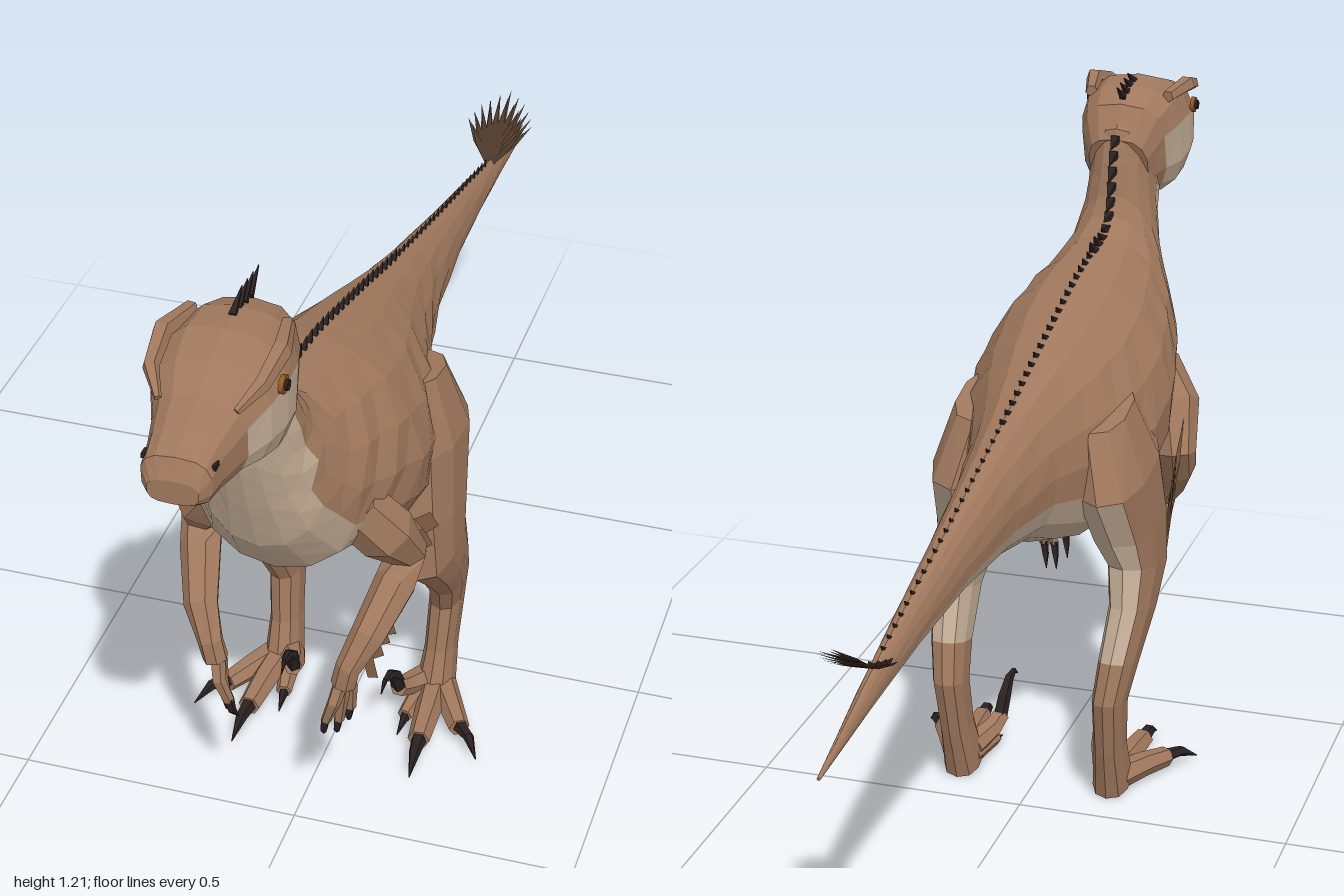
import * as THREE from 'three';
import { mergeGeometries } from 'three/addons/utils/BufferGeometryUtils.js';

const mat = (name, color, side = THREE.FrontSide) => Object.assign(new THREE.MeshStandardMaterial({ color, side }), { name });
const hide = mat('brownHide', 0xa0785d);
const pale = mat('paleUnderside', 0xc2ab94);
const claw = mat('darkClaw', 0x2a2021);
const plume = mat('brownFeather', 0x8a664c, THREE.DoubleSide);
const darkPlume = mat('darkFeather', 0x4a3628, THREE.DoubleSide);
const eyeAmber = mat('eyeAmber', 0x9a5a22);
const V = (x, y, z) => new THREE.Vector3(x, y, z);

// Faceted skin over rings of points, capped at both ends; isPale picks faces for the second material
function skin(rings, isPale = () => false) {
  const n = rings[0].length, faces = [[], []];
  const mid = r => r.reduce((s, p) => s.add(p), V(0, 0, 0)).divideScalar(n);
  const last = rings.length - 1, c0 = mid(rings[0]), c1 = mid(rings[last]);
  for (let i = 0; i < n; i++) {
    const k = (i + 1) % n, a = (i + 0.5) / n * Math.PI * 2;
    faces[0].push([c0, rings[0][k], rings[0][i]], [c1, rings[last][i], rings[last][k]]);
    for (let j = 0; j < last; j++) {
      const A = rings[j][i], B = rings[j][k], C = rings[j + 1][k], D = rings[j + 1][i];
      faces[isPale(j, Math.cos(a), Math.sin(a)) ? 1 : 0].push([A, B, C], [A, C, D]);
    }
  }
  // Turn the faces outward whichever way the rings run
  const volume = faces.flat().reduce((s, [a, b, c]) => s + a.dot(b.clone().cross(c)), 0);
  const geo = new THREE.BufferGeometry(), pts = [];
  faces.forEach((list, m) => {
    geo.addGroup(pts.length, list.length * 3, m);
    list.forEach(([a, b, c]) => pts.push(...(volume > 0 ? [a, b, c] : [a, c, b])));
  });
  geo.setFromPoints(pts);
  geo.computeVertexNormals();
  return geo;
}

// Rings from sections [z1, y1, z2, y2, halfWidth, centreX], spanning edge 1 to edge 2
function sections(list, n, { box = 1, pear = 0, bump = 0, side = 1 } = {}) {
  const pw = v => Math.sign(v) * Math.abs(v) ** box;
  return list.map(([z1, y1, z2, y2, w, cx = 0], j) => Array.from({ length: n }, (_, i) => {
    const a = i / n * Math.PI * 2, c = pw(Math.cos(a)), s = pw(Math.sin(a));
    const r = 1 + bump * Math.sin(j * 2.6) * Math.cos(i * 2.1 * Math.PI / 2) * Math.abs(s);
    return V(side * (cx + w * s * r * (1 - pear * c)), (y1 + y2) / 2 + (y1 - y2) / 2 * c, (z1 + z2) / 2 + (z1 - z2) / 2 * c);
  }));
}

// Tapered limb along points [x, y, z, radius]
function limb(pts, n = 6, side = 1) {
  const P = pts.map(p => V(p[0] * side, p[1], p[2]));
  return skin(P.map((p, j) => {
    const t = P[Math.min(j + 1, P.length - 1)].clone().sub(P[Math.max(j - 1, 0)]).normalize();
    const u = t.clone().cross(Math.abs(t.x) < 0.9 ? V(1, 0, 0) : V(0, 1, 0)).normalize(), v = t.clone().cross(u);
    return Array.from({ length: n }, (_, i) => {
      const a = (i + 0.5) / n * Math.PI * 2;
      return p.clone().addScaledVector(u, Math.cos(a) * pts[j][3]).addScaledVector(v, Math.sin(a) * pts[j][3]);
    });
  }));
}

// Flat pointed feather from base to tip, spread along the across vector
function feather(base, tip, across) {
  const m = base.clone().lerp(tip, 0.55);
  const a = m.clone().add(across), b = m.clone().sub(across);
  const g = new THREE.BufferGeometry().setFromPoints([base, a, tip, base, tip, b]);
  g.computeVertexNormals();
  return g;
}

// Adds in-between sections for a finely faceted hide
const refine = (list, k) => list.flatMap((s, j) => j === list.length - 1 ? [s]
  : Array.from({ length: k }, (_, q) => s.map((v, c) => THREE.MathUtils.lerp(v, list[j + 1][c], q / k))));

export function createModel() {
  const model = new THREE.Group();
  model.name = 'raptor';
  const add = (name, geo, material, parent = model) => {
    const m = new THREE.Mesh(geo, material);
    m.name = name;
    parent.add(m);
    return m;
  };

  // Tail, torso and neck
  const trunk = [
    [-1, 0.553, -1, 0.548, 0.003], [-0.8, 0.612, -0.8, 0.567, 0.014], [-0.6, 0.663, -0.6, 0.583, 0.025],
    [-0.4, 0.71, -0.4, 0.59, 0.038], [-0.2, 0.76, -0.2, 0.578, 0.057], [-0.05, 0.80, -0.05, 0.55, 0.083],
    [0.05, 0.83, 0.05, 0.505, 0.115], [0.15, 0.858, 0.15, 0.472, 0.155], [0.25, 0.885, 0.25, 0.46, 0.18],
    [0.35, 0.91, 0.35, 0.50, 0.185], [0.45, 0.925, 0.46, 0.555, 0.165], [0.53, 0.937, 0.57, 0.60, 0.14],
    [0.565, 0.965, 0.65, 0.70, 0.105], [0.58, 1.0, 0.69, 0.80, 0.08], [0.59, 1.06, 0.725, 0.90, 0.066],
    [0.61, 1.12, 0.74, 0.97, 0.066], [0.66, 1.15, 0.75, 1.0, 0.06]];
  const fine = refine(trunk, 2);
  add('body', skin(sections(fine, 16, { pear: 0.12, bump: 0.035 }), (j, c) => c < (j >= 25 ? -0.1 : j > 13 && j < 21 ? -0.7 : -0.5)), [hide, pale]);

  // Head with pale cheeks
  const skull = [
    [0.605, 1.10, 0.66, 0.98, 0.058], [0.64, 1.16, 0.70, 0.97, 0.082], [0.70, 1.183, 0.745, 0.962, 0.098],
    [0.77, 1.187, 0.79, 0.975, 0.103], [0.83, 1.168, 0.84, 0.992, 0.095], [0.88, 1.138, 0.88, 1.003, 0.074],
    [0.94, 1.12, 0.94, 1.012, 0.06], [0.985, 1.102, 0.98, 1.018, 0.055], [1, 1.07, 1, 1.03, 0.04]];
  add('head', skin(sections(skull, 14, { box: 0.7 }),
    (j, c) => (j > 0 && j < 5 && c < 0.3 && c > -0.8) || (j < 3 && c < -0.8) || (j >= 5 && c < -0.1 && c > -0.3)), [hide, pale]);

  // Spikes along the back, and a crest on the skull
  const ridge = new THREE.CatmullRomCurve3(trunk.slice(1, -1).map(s => V(0, s[1], s[0])));
  const spikes = [];
  for (let i = 0; i < 52; i++) {
    const u = 0.06 + 0.93 * i / 51, p = ridge.getPointAt(u), t = ridge.getTangentAt(u);
    const up = V(0, t.z, -t.y), big = u > 0.82 ? 0.026 : u > 0.45 ? 0.016 : 0.011;
    const tip = p.clone().addScaledVector(up, big).addScaledVector(t, -big);
    spikes.push(limb([[0, p.y - 0.004, p.z, big * 0.45], [0, tip.y, tip.z, 0.001]], 4));
  }
  for (let i = 0; i < 4; i++) {
    const z = 0.73 - i * 0.025;
    spikes.push(limb([[0, 1.183 - i * 0.004, z, 0.008], [0, 1.208 - i * 0.003, z - 0.045, 0.001]], 4));
  }
  add('spineSpikes', mergeGeometries(spikes), claw);

  // Feather fan near the tail tip
  const fan = [];
  for (let i = -5; i <= 5; i++) for (const lift of [0, 0.025]) {
    const a = i * 0.16, len = 0.17 - Math.abs(i) * 0.01 - lift;
    fan.push(feather(V(0, 0.612, -0.74), V(Math.sin(a) * len * 0.75, 0.612 + len * 0.5 + lift * 0.4, -0.74 - Math.cos(a) * len), V(0.007, 0, -0.002)));
  }
  add('tailFan', mergeGeometries(fan), darkPlume);

  for (const side of [1, -1]) {
    const half = new THREE.Group(), tag = side > 0 ? 'left' : 'right';
    half.name = tag + 'Side';
    model.add(half);
    const put = (name, geo, m) => add(tag + name, geo, m, half);

    // Brow, eye and nostril
    put('Brow', limb([[0.075, 1.165, 0.70, 0.012], [0.092, 1.172, 0.78, 0.016], [0.085, 1.155, 0.85, 0.013], [0.06, 1.13, 0.89, 0.006]], 5, side), hide);
    for (const [name, r, x, m] of [['Eye', 0.015, 0.101, eyeAmber], ['Pupil', 0.009, 0.106, claw]]) {
      const disc = put(name, new THREE.CylinderGeometry(r, r, 0.008, 8), m);
      disc.position.set(side * x, 1.127, 0.80);
      disc.rotation.z = Math.PI / 2;
    }
    const nostril = put('Nostril', new THREE.BoxGeometry(0.006, 0.008, 0.016), claw);
    nostril.position.set(side * 0.054, 1.085, 0.965);

    // Leg with pale inner thigh
    const leg = [
      [0.24, 0.76, 0.06, 0.72, 0.055, 0.105], [0.30, 0.65, 0.02, 0.60, 0.066, 0.135], [0.312, 0.52, 0.08, 0.50, 0.062, 0.148],
      [0.305, 0.41, 0.10, 0.45, 0.048, 0.163], [0.23, 0.34, 0.08, 0.38, 0.039, 0.168], [0.15, 0.26, 0.035, 0.29, 0.034, 0.16],
      [0.115, 0.20, 0.012, 0.215, 0.030, 0.152], [0.13, 0.11, 0.04, 0.10, 0.028, 0.148], [0.16, 0.035, 0.07, 0, 0.035, 0.145]];
    put('Leg', skin(sections(leg, 10, { side, box: 0.85 }), (j, c, s) => j > 0 && j < 5 && (s < -0.5 || c < -0.9) && c < 0.5), [hide, pale]);

    // Foot: three toes and the raised sickle claw
    const toes = [
      [[0.145, 0.03, 0.10, 0.029], [0.155, 0.032, 0.2, 0.024], [0.16, 0.028, 0.275, 0.02]],
      [[0.15, 0.03, 0.10, 0.028], [0.19, 0.03, 0.17, 0.023], [0.22, 0.026, 0.22, 0.019]],
      [[0.135, 0.03, 0.11, 0.026], [0.122, 0.025, 0.17, 0.018], [0.115, 0.02, 0.21, 0.014]],
      [[0.13, 0.045, 0.12, 0.024], [0.108, 0.06, 0.17, 0.02], [0.1, 0.075, 0.2, 0.017]]];
    const nails = [
      [[0.16, 0.03, 0.265, 0.015], [0.163, 0.03, 0.31, 0.011], [0.166, 0.008, 0.355, 0.001]],
      [[0.216, 0.028, 0.213, 0.014], [0.244, 0.03, 0.243, 0.01], [0.266, 0.008, 0.275, 0.001]],
      [[0.116, 0.02, 0.205, 0.01], [0.112, 0.006, 0.25, 0.001]],
      [[0.1, 0.075, 0.195, 0.014], [0.097, 0.11, 0.212, 0.013], [0.096, 0.135, 0.24, 0.009], [0.094, 0.14, 0.265, 0.005], [0.093, 0.125, 0.285, 0.001]]];
    put('Toes', mergeGeometries(toes.map(t => limb(t, 6, side))), hide);
    put('ToeClaws', mergeGeometries(nails.map(t => limb(t, 5, side))), claw);

    // Arm, fingers and finger claws
    put('Arm', limb([[0.11, 0.70, 0.50, 0.05], [0.155, 0.635, 0.47, 0.052], [0.178, 0.56, 0.42, 0.036], [0.17, 0.52, 0.455, 0.036],
      [0.145, 0.46, 0.53, 0.03], [0.12, 0.41, 0.56, 0.022], [0.112, 0.375, 0.56, 0.022]], 7, side), hide);
    const fingers = [], tips = [];
    for (const [x, y, z] of [[0.085, 0.30, 0.575], [0.1, 0.285, 0.55], [0.113, 0.295, 0.525]]) {
      fingers.push(limb([[0.112, 0.395, 0.555, 0.014], [(x + 0.116) / 2, 0.345, z + 0.005, 0.012], [x, y, z, 0.009]], 5, side));
      tips.push(limb([[x, y + 0.005, z, 0.009], [x - 0.004, y - 0.022, z - 0.003, 0.007], [x - 0.01, y - 0.045, z - 0.018, 0.001]], 4, side));
    }
    put('Fingers', mergeGeometries(fingers), hide);
    put('FingerClaws', mergeGeometries(tips), claw);

    // Feathers trailing from the forearm and elbow
    const wing = [];
    for (let i = 0; i < 11; i++) {
      const f = i / 10, b = V(0.19 - 0.055 * f, 0.63 - 0.2 * f, 0.42 + 0.12 * f);
      const tip = b.clone().add(V(0.012, -0.09 - 0.01 * Math.sin(i * 2), -0.11 + 0.05 * f));
      for (const p of [b, tip]) p.x *= side;
      wing.push(feather(b, tip, V(0, 0.012, -0.014)));
    }
    put('ArmFeathers', mergeGeometries(wing), plume);
  }
  return model;
}
